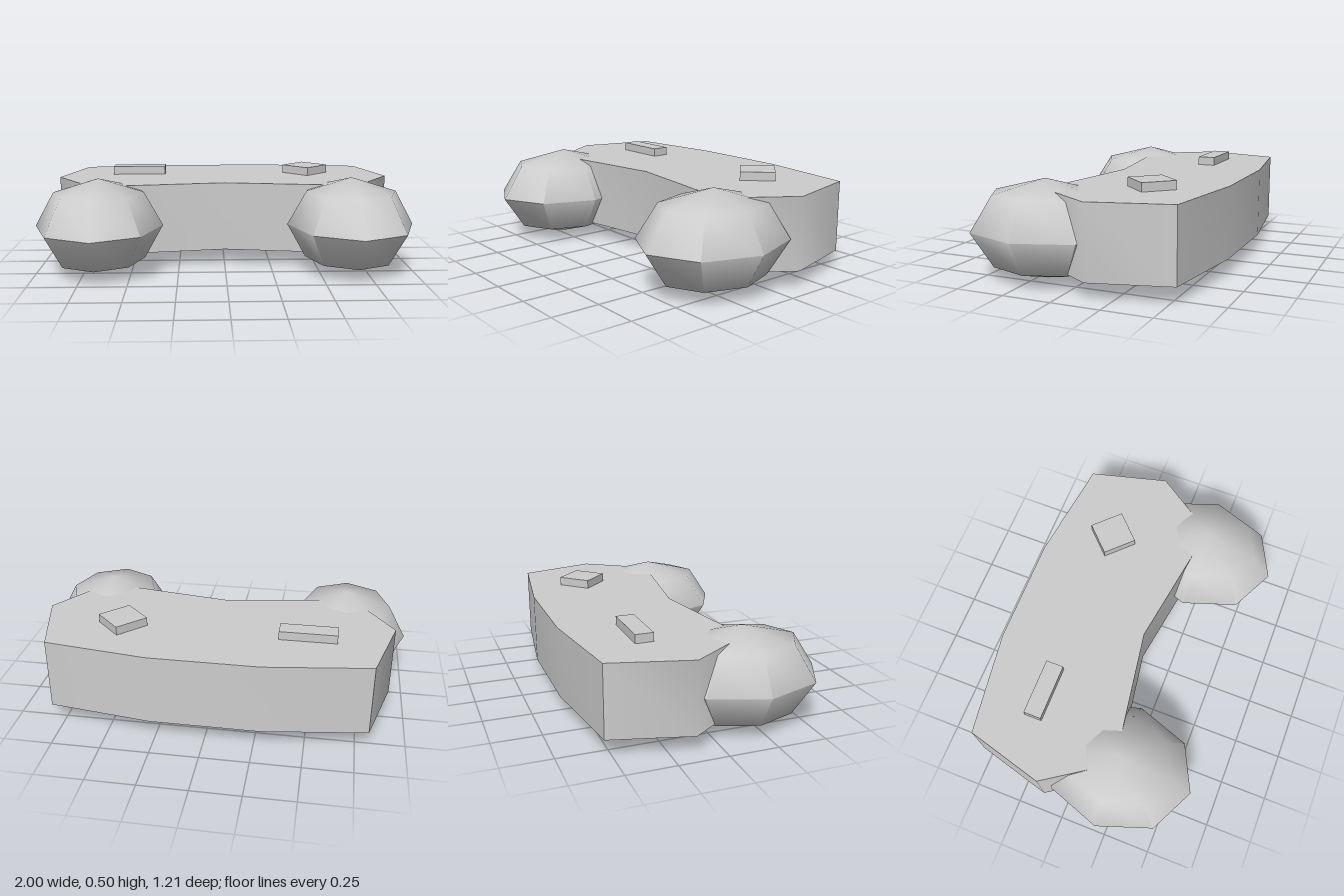
import * as THREE from 'three';
import { toCreasedNormals } from 'three/addons/utils/BufferGeometryUtils.js';

const grey = new THREE.MeshStandardMaterial({ color: 0xcccccc });
grey.name = 'plain grey';

const BOTTOM = 0.085, TOP = 0.455;

function part(name, geometry) {
  const mesh = new THREE.Mesh(toCreasedNormals(geometry, Math.PI / 3), grey);
  mesh.name = name;
  return mesh;
}

// Raised plate standing on the body's top face
function plate(name, width, depth, x, z, turn = 0) {
  const height = 0.5 - TOP + 0.01;
  const mesh = part(name, new THREE.BoxGeometry(width, height, depth));
  mesh.position.set(x, 0.5 - height / 2, z);
  mesh.rotation.y = turn;
  return mesh;
}

export function createModel() {
  const model = new THREE.Group();
  model.name = 'gamepad';

  // Body: mirrored outline (x, z), extruded upwards
  const half = [[0.7, 0.2], [0.922, -0.13], [0.815, -0.535], [0.28, -0.607]];
  const outline = [
    [0, 0.09],
    ...half,
    ...half.slice().reverse().map(([x, z]) => [-x, z]),
  ];
  const shape = new THREE.Shape(outline.map(([x, z]) => new THREE.Vector2(x, -z)));
  const body = new THREE.ExtrudeGeometry(shape, { depth: TOP - BOTTOM, bevelEnabled: false });
  body.rotateX(-Math.PI / 2).translate(0, BOTTOM, 0);
  model.add(part('body', body));

  // Grips: coarse ellipsoids, creased where the facets meet sharply
  for (const [name, side] of [['leftGrip', 1], ['rightGrip', -1]]) {
    const grip = new THREE.SphereGeometry(1, 8, 4);
    grip.scale(0.335, 0.25, 0.402).translate(side * 0.665, 0.25, 0.204);
    model.add(part(name, grip));
  }

  // Raised controls
  model.add(plate('directionBar', 0.295, 0.093, -0.483, -0.277));
  model.add(plate('buttonDiamond', 0.182, 0.182, 0.48, -0.277, Math.PI / 4));

  return model;
}
